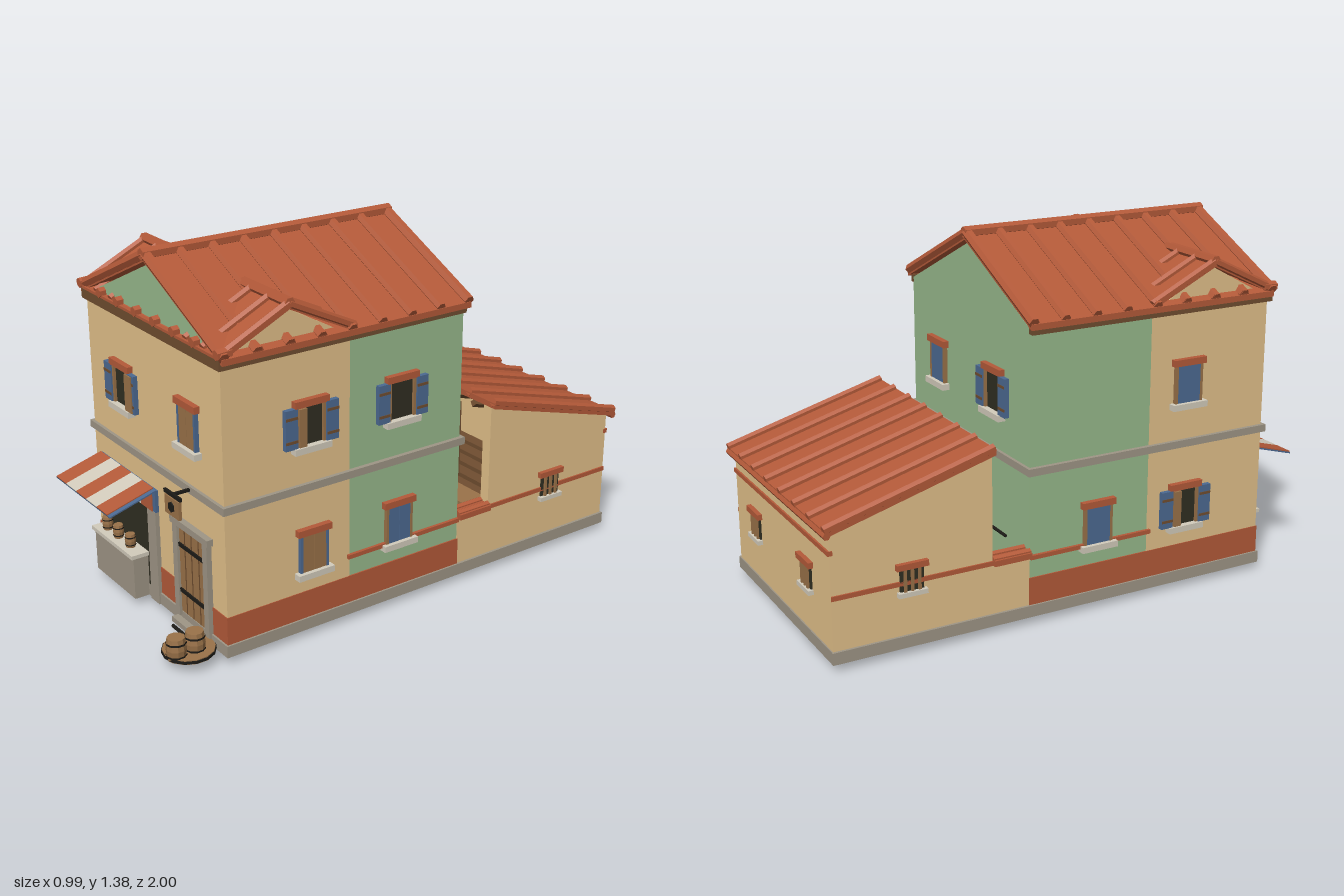
import * as THREE from 'three';

const mat = (name, color) => Object.assign(new THREE.MeshStandardMaterial({ color }), { name });
const M = {
  cream: mat('cream plaster', 0xe3c18a), green: mat('green plaster', 0x98ba8c),
  tile: mat('terracotta', 0xb45a39), wood: mat('wood', 0x9a7249),
  darkWood: mat('dark wood', 0x704e30), stone: mat('grey stone', 0x9f9686),
  pale: mat('pale stone', 0xd3ccbc), blue: mat('blue paint', 0x4c6a92),
  dark: mat('dark opening', 0x302e22), iron: mat('iron', 0x1d1b17),
};

// Faceted normals for low-poly parts
function flat(geo) {
  const g = geo.index ? geo.toNonIndexed() : geo;
  g.computeVertexNormals();
  return g;
}
function add(parent, name, geo, material) {
  const m = new THREE.Mesh(geo, material);
  m.name = name;
  parent.add(m);
  return m;
}
// Box given by its min and max on each axis
function box(parent, name, material, x0, x1, y0, y1, z0, z1) {
  const m = add(parent, name, new THREE.BoxGeometry(x1 - x0, y1 - y0, z1 - z0), material);
  m.position.set((x0 + x1) / 2, (y0 + y1) / 2, (z0 + z1) / 2);
  return m;
}
// Straight rod between two points
function rod(parent, name, material, a, b, r = 0.014, sides = 6) {
  const p = new THREE.Vector3(...a), q = new THREE.Vector3(...b);
  const d = q.clone().sub(p);
  const m = add(parent, name, flat(new THREE.CylinderGeometry(r, r, d.length(), sides)), material);
  m.position.copy(p).add(q).multiplyScalar(0.5);
  m.quaternion.setFromUnitVectors(new THREE.Vector3(0, 1, 0), d.normalize());
  return m;
}
// Prism of an (x, y) outline along z, or of a (z, y) outline along x
function prism(parent, name, material, pts, from, to, alongX = false) {
  const shape = new THREE.Shape(pts.map(p => new THREE.Vector2(...p)));
  const m = add(parent, name, new THREE.ExtrudeGeometry(shape, { depth: to - from, bevelEnabled: false }), material);
  if (alongX) { m.rotation.y = -Math.PI / 2; m.position.x = to; } else m.position.z = from;
  return m;
}
function barrel(parent, name, x, y, z, r, h) {
  const g = new THREE.Group();
  g.name = name;
  g.position.set(x, y, z);
  const prof = [[0, 0], [r * 0.85, 0], [r, h * 0.5], [r * 0.85, h], [0, h]].map(p => new THREE.Vector2(...p));
  add(g, 'staves', flat(new THREE.LatheGeometry(prof, 10)), M.wood);
  for (const t of [0.22, 0.78])
    add(g, 'hoop', flat(new THREE.CylinderGeometry(r, r, h * 0.09, 10, 1, true)), M.iron).position.y = h * t;
  parent.add(g);
}
// House window facing local +z; leaf is the x range of an inner wooden leaf
function houseWindow(parent, x, y, z, rot, open, paint = M.blue, leaf = null) {
  const g = new THREE.Group();
  g.name = 'window';
  g.position.set(x, y, z);
  g.rotation.y = rot;
  box(g, 'opening', M.dark, -0.055, 0.055, -0.075, 0.07, 0, 0.006);
  box(g, 'lintel', M.tile, -0.07, 0.07, 0.07, 0.095, 0, 0.022);
  box(g, 'sill', M.pale, -0.075, 0.075, -0.095, -0.072, 0, 0.03);
  const edge = paint === M.blue ? M.wood : M.blue;
  for (const s of [-1, 1]) {
    const c = s * (open ? 0.084 : 0.026);
    box(g, 'shutter', paint, c - 0.025, c + 0.025, -0.073, 0.072, 0.004, open ? 0.022 : 0.014);
    for (const h of [-0.045, 0.04])
      if (open) box(g, 'batten', M.darkWood, c - 0.024, c + 0.024, h - 0.005, h + 0.005, 0.02, 0.024);
    box(g, 'jamb', edge, s * 0.054 - 0.005, s * 0.054 + 0.005, -0.073, 0.07, 0, 0.016);
  }
  if (leaf) box(g, 'innerLeaf', M.wood, leaf[0], leaf[1], -0.07, 0.068, 0.005, 0.027);
  parent.add(g);
}
function barredWindow(parent, x, y, z, rot) {
  const g = new THREE.Group();
  g.name = 'barredWindow';
  g.position.set(x, y, z);
  g.rotation.y = rot;
  box(g, 'opening', M.dark, -0.045, 0.045, -0.05, 0.04, 0, 0.006);
  box(g, 'lintel', M.tile, -0.06, 0.06, 0.035, 0.057, 0, 0.018);
  box(g, 'sill', M.pale, -0.055, 0.055, -0.065, -0.048, 0, 0.02);
  for (const i of [-1, 0, 1]) box(g, 'bar', M.wood, i * 0.027 - 0.005, i * 0.027 + 0.005, -0.05, 0.04, 0, 0.014);
  parent.add(g);
}

export function createModel() {
  const root = new THREE.Group();
  root.name = 'townHouse';
  const group = name => { const g = new THREE.Group(); g.name = name; root.add(g); return g; };

  // Main house walls
  const house = group('house');
  box(house, 'foundation', M.stone, -0.472, 0.472, 0.03, 0.075, -0.21, 0.812);
  box(house, 'rearFloor', M.green, -0.46, 0.46, 0.027, 0.032, -0.205, 0.29);
  prism(house, 'walls', M.green, [[-0.46, 0.07], [0.46, 0.07], [0.46, 1.1], [0, 1.315], [-0.46, 1.1]], -0.21, 0.8);
  box(house, 'frontWalls', M.cream, -0.462, 0.462, 0.07, 1.1, 0.29, 0.802);
  box(house, 'plinthBand', M.tile, -0.465, 0.465, 0.075, 0.18, -0.213, 0.805);
  box(house, 'beltCourse', M.stone, -0.477, 0.477, 0.57, 0.598, -0.222, 0.814);
  box(house, 'frontEave', M.darkWood, -0.478, 0.478, 1.08, 1.122, 0.79, 0.815);
  for (const s of [-1, 1]) {
    const x = s * 0.466;
    box(house, 'sideEave', M.darkWood, x - 0.012, x + 0.012, 1.08, 1.11, -0.21, 0.8);
    box(house, 'sideTrim', M.tile, x - 0.006, x + 0.006, 0.252, 0.268, -0.21, 0.3);
  }

  // Main roof with a lower cross gable
  const roof = group('roof');
  prism(roof, 'mainSlab', M.tile, [[0, 1.35], [-0.49, 1.122], [-0.49, 1.1], [0, 1.328], [0.49, 1.1], [0.49, 1.122]], -0.22, 0.81);
  rod(roof, 'mainRidge', M.tile, [0, 1.355, -0.225], [0, 1.355, 0.82], 0.022);
  const cz = 0.545;
  prism(roof, 'crossSlab', M.tile, [[cz, 1.255], [cz - 0.265, 1.127], [cz - 0.265, 1.11], [cz, 1.237], [cz + 0.265, 1.11], [cz + 0.265, 1.127]].reverse(), -0.48, 0.48, true);
  prism(roof, 'crossGableWall', M.cream, [[0.295, 1.1], [0.795, 1.1], [cz, 1.236]], -0.463, 0.463, true);
  rod(roof, 'crossRidge', M.tile, [-0.485, 1.26, cz], [0.485, 1.26, cz], 0.02);
  for (const s of [-1, 1]) {
    for (let i = 0; i < 9; i++) {
      const z = -0.21 + i * 0.1265;
      rod(roof, 'tileRib', M.tile, [0, 1.354, z], [s * 0.49, 1.126, z], i % 8 ? 0.018 : 0.02);
    }
    for (const x of [0.26, 0.37, 0.475]) for (const t of [-1, 1])
      rod(roof, 'crossRib', M.tile, [s * x, 1.258, cz], [s * x, 1.13, cz + t * 0.265], 0.016);
    for (const z of [0.42, 0.545, 0.67])
      rod(roof, 'sideTileEnd', M.tile, [s * 0.45, 1.135, z], [s * 0.49, 1.125, z], 0.018);
    rod(roof, 'eaveTile', M.tile, [s * 0.478, 1.115, -0.22], [s * 0.478, 1.115, 0.81], 0.013);
    for (const x of [0.065, 0.195, 0.325, 0.475])
      rod(roof, 'frontTileEnd', M.tile, [s * x, 1.14, 0.77], [s * x, 1.137, 0.825], 0.019);
  }
  box(roof, 'frontTileRow', M.tile, -0.48, 0.48, 1.12, 1.13, 0.79, 0.82);

  // Windows
  const windows = group('windows'), H = Math.PI / 2;
  houseWindow(windows, -0.205, 0.815, 0.802, 0, true, M.blue, [0.05, 0.097]);
  houseWindow(windows, 0.255, 0.815, 0.802, 0, false, M.wood);
  houseWindow(windows, 0.463, 0.815, 0.46, H, true, M.blue, [-0.055, -0.025]);
  houseWindow(windows, 0.461, 0.815, 0.07, H, true);
  houseWindow(windows, 0.463, 0.335, 0.45, H, false, M.wood);
  houseWindow(windows, 0.461, 0.335, 0.075, H, false);
  houseWindow(windows, -0.463, 0.815, 0.45, -H, false);
  houseWindow(windows, -0.463, 0.335, 0.45, -H, true, M.blue, [-0.055, -0.025]);
  houseWindow(windows, -0.461, 0.335, 0.07, -H, false);
  houseWindow(windows, 0.23, 0.815, -0.211, 2 * H, false);
  houseWindow(windows, -0.21, 0.815, -0.211, 2 * H, true);
  houseWindow(windows, 0.22, 0.37, -0.211, 2 * H, false);

  // Shop front with counter, jars and a striped awning on a blue sheet
  const shop = group('shop');
  box(shop, 'shopOpening', M.dark, -0.378, -0.048, 0.075, 0.4, 0.8, 0.809);
  box(shop, 'leftPost', M.stone, -0.412, -0.376, 0.03, 0.4, 0.79, 0.818);
  box(shop, 'rightPost', M.stone, -0.05, 0.01, 0.03, 0.4, 0.79, 0.818);
  box(shop, 'counter', M.stone, -0.377, -0.077, 0.03, 0.195, 0.8, 0.87);
  box(shop, 'counterTop', M.pale, -0.385, -0.07, 0.195, 0.21, 0.8, 0.88);
  for (const x of [-0.325, -0.24, -0.147]) barrel(shop, 'jar', x, 0.21, 0.842, 0.021, 0.052);
  box(shop, 'awningSheet', M.blue, -0.413, 0.01, 0.456, 0.461, 0.806, 1).rotation.x = 0.28;
  box(shop, 'valanceSheet', M.blue, -0.413, 0.01, 0.4, 0.485, 0.802, 0.816);
  for (let i = 0; i < 5; i++) {
    const x0 = -0.409 + i * 0.08, c = i % 2 ? M.pale : M.tile;
    box(shop, 'awningStripe', c, x0, x0 + 0.08, 0.461, 0.465, 0.807, 1.001).rotation.x = 0.28;
    box(shop, 'valanceStripe', c, x0, x0 + 0.08, 0.4, 0.485, 0.814, 0.82);
  }

  // Front door with stone frame, straps and step
  const door = group('door');
  box(door, 'doorLeaf', M.wood, 0.16, 0.345, 0.078, 0.42, 0.8, 0.812);
  for (const x of [0.207, 0.252, 0.3]) box(door, 'plankGap', M.darkWood, x - 0.002, x + 0.002, 0.08, 0.42, 0.81, 0.814);
  for (const y of [0.165, 0.345]) box(door, 'strap', M.iron, 0.17, 0.335, y - 0.007, y + 0.007, 0.81, 0.818);
  for (const x of [0.138, 0.34]) box(door, 'jamb', M.stone, x, x + 0.03, 0.06, 0.42, 0.8, 0.822);
  box(door, 'lintel', M.stone, 0.128, 0.382, 0.42, 0.445, 0.8, 0.826);
  box(door, 'step', M.stone, 0.14, 0.36, 0.03, 0.05, 0.8, 0.84);

  // Blank hanging sign
  const sign = group('hangingSign');
  box(sign, 'board', M.wood, 0.208, 0.302, 0.505, 0.573, 0.872, 0.884);
  rod(sign, 'boss', M.iron, [0.255, 0.54, 0.87], [0.255, 0.54, 0.888], 0.02, 6);
  box(sign, 'crossBar', M.iron, 0.2, 0.31, 0.577, 0.59, 0.873, 0.883);
  box(sign, 'bracket', M.iron, 0.25, 0.26, 0.58, 0.59, 0.8, 0.883);

  // Barrels and a wheel lying beside the door
  const yard = group('streetGoods');
  rod(yard, 'wheel', M.wood, [0.365, 0.04, 0.902], [0.365, 0.056, 0.902], 0.093, 14);
  rod(yard, 'wheelRim', M.iron, [0.365, 0.043, 0.902], [0.365, 0.053, 0.902], 0.096, 14);
  barrel(yard, 'barrel', 0.385, 0.04, 0.962, 0.037, 0.085);
  barrel(yard, 'barrel', 0.385, 0.04, 0.888, 0.037, 0.085);
  rod(yard, 'toolHandle', M.iron, [0.2, 0.05, 0.87], [0.3, 0.05, 0.87], 0.007);

  // Rear outbuilding, open to the courtyard and below
  const annex = group('outbuilding');
  for (const s of [-1, 1]) {
    const span = (a, b) => [Math.min(s * a, s * b), Math.max(s * a, s * b)];
    const [a, b] = span(0.42, 0.462), [c, d] = span(0.4, 0.482), [e, f] = span(0.4, 0.472);
    prism(annex, 'sideWall', M.cream, [[-0.97, 0.07], [-0.36, 0.07], [-0.36, 0.685], [-0.97, 0.505]], a, b, true);
    box(annex, 'sideFooting', M.stone, e, f, 0.03, 0.075, -0.972, -0.21);
    box(annex, 'courtyardWall', M.cream, a, b, 0.07, 0.265, -0.36, -0.21);
    box(annex, 'courtyardCap', M.tile, c, d, 0.262, 0.284, -0.36, -0.21);
    for (const x of [0.42, 0.462]) rod(annex, 'capTile', M.tile, [s * x, 0.282, -0.36], [s * x, 0.282, -0.21], 0.014);
    box(annex, 'sideTrim', M.tile, ...span(0.46, 0.468), 0.262, 0.279, -0.97, -0.21);
    barredWindow(annex, s * 0.462, 0.288, -0.675, s * H);
    barredWindow(annex, s * 0.25, 0.288, -0.97, 2 * H);
  }
  box(annex, 'backWall', M.cream, -0.462, 0.462, 0.07, 0.505, -0.97, -0.93);
  box(annex, 'backFooting', M.stone, -0.472, 0.472, 0.03, 0.075, -0.975, -0.91);
  box(annex, 'backTrim', M.tile, -0.465, 0.465, 0.425, 0.442, -0.977, -0.96);
  prism(annex, 'shedRoof', M.tile, [[-0.99, 0.5], [-0.355, 0.678], [-0.355, 0.7], [-0.99, 0.522]], -0.485, 0.485, true);
  for (let i = 0; i < 8; i++) {
    const x = -0.472 + i * 0.1349;
    rod(annex, 'shedRib', M.tile, [x, 0.702, -0.357], [x, 0.524, -0.993], 0.017);
  }
  rod(annex, 'shedEave', M.tile, [-0.485, 0.505, -0.985], [0.485, 0.505, -0.985], 0.014);
  for (let i = 0; i < 7; i++) {
    const x = -0.36 + i * 0.12;
    rod(annex, 'rafter', M.darkWood, [x, 0.662, -0.36], [x, 0.488, -0.95], 0.016, 4);
  }

  // Courtyard stairs, trough, barrel and trestle bench
  const court = group('courtyardGoods');
  box(court, 'landing', M.darkWood, -0.17, -0.1, 0.06, 0.26, -0.4, -0.235);
  for (let i = 0; i < 3; i++) box(court, 'stair', M.wood, -0.1, 0.04 - i * 0.045, 0.06 + i * 0.06, 0.12 + i * 0.06, -0.3, -0.235);
  box(court, 'trough', M.stone, 0.11, 0.33, 0.08, 0.16, -0.262, -0.23);
  barrel(court, 'courtBarrel', 0.33, 0.08, -0.3, 0.034, 0.1);
  rod(court, 'ironBar', M.iron, [-0.33, 0.3, -0.235], [-0.1, 0.3, -0.235], 0.006);
  for (const x of [0.08, 0.36]) for (const z of [-0.35, -0.46])
    rod(court, 'trestleLeg', M.darkWood, [x, 0.004, z], [x, 0.22, -0.405], 0.012, 4);
  box(court, 'trestleTop', M.wood, 0.05, 0.39, 0.21, 0.235, -0.46, -0.35);
  for (let i = 0; i < 5; i++) {
    const z = -0.56 - i * 0.08;
    box(court, 'stallPlank', M.darkWood, -0.42, 0.42, 0.15, 0.175, z - 0.027, z + 0.027);
  }
  for (const x of [-0.38, 0, 0.38]) box(court, 'stallPost', M.darkWood, x - 0.015, x + 0.015, 0.04, 0.5, -0.6, -0.57);
  return root;
}
